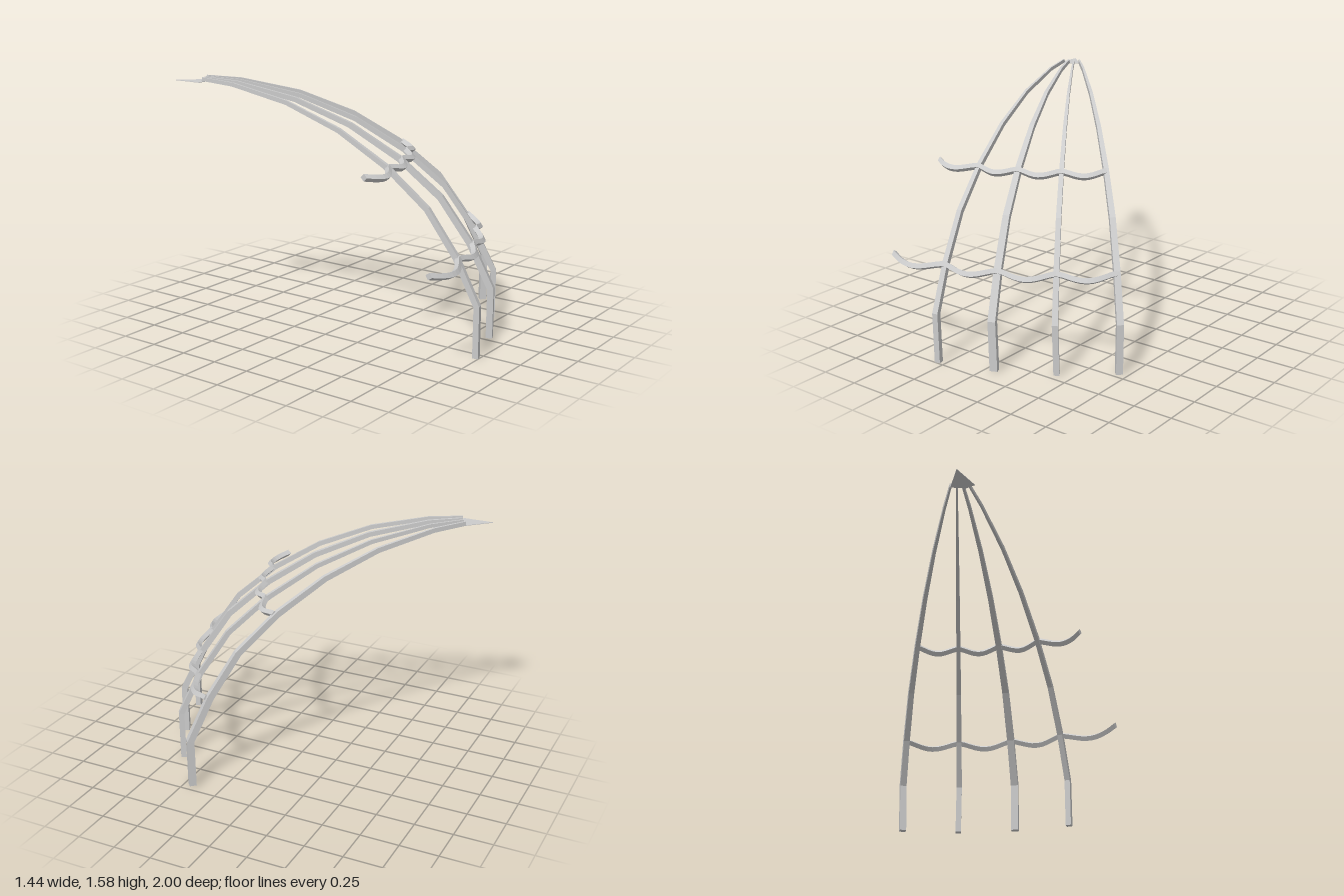
import * as THREE from 'three';

// Dome axis: everything is placed in polar coordinates around it
const AXIS_X = -0.72, AXIS_Z = -1.0;
// Wall end of the rails, then the four ribs
const ANGLES = [0, 11.85, 22.35, 33.2, 44.2].map(THREE.MathUtils.degToRad);
const material = new THREE.MeshStandardMaterial({ color: 0xcccccc, flatShading: true });

// Angle a, radius r, height y, sideways offset s
function polar(a, r, y, s = 0) {
  return [
    AXIS_X + Math.sin(a) * r + Math.cos(a) * s,
    y,
    AXIS_Z + Math.cos(a) * r - Math.sin(a) * s,
  ];
}

// Skin a list of four-cornered rings and cap both ends
function loft(rings) {
  const pos = [];
  const quad = (a, b, c, d) => pos.push(...a, ...b, ...c, ...a, ...c, ...d);
  for (let k = 0; k < rings.length - 1; k++) {
    const p = rings[k], q = rings[k + 1];
    for (let i = 0; i < 4; i++) {
      const j = (i + 1) % 4;
      quad(p[i], p[j], q[j], q[i]);
    }
  }
  const first = rings[0], last = rings[rings.length - 1];
  quad(first[3], first[2], first[1], first[0]);
  quad(last[0], last[1], last[2], last[3]);
  const g = new THREE.BufferGeometry();
  g.setAttribute('position', new THREE.Float32BufferAttribute(pos, 3));
  g.computeVertexNormals();
  return g;
}

// Outer edge of a rib: radius, height
const PROFILE = [
  [2.04, 0], [2.043, 0.325], [1.905, 0.615], [1.715, 0.895], [1.448, 1.13],
  [1.138, 1.325], [0.788, 1.47], [0.412, 1.558], [0.195, 1.579],
];

// Tapering rib with its inner edge offset along the profile normal; the foot leans sideways a little
function ribGeometry(angle, width, depth, lean) {
  const n = PROFILE.length;
  return loft(PROFILE.map(([r, y], i) => {
    const a = PROFILE[Math.max(i - 1, 0)], b = PROFILE[Math.min(i + 1, n - 1)];
    const dr = b[0] - a[0], dy = b[1] - a[1], len = Math.hypot(dr, dy);
    const d = depth * (0.6 + 0.2 * r);
    const ri = r - (dy / len) * d, yi = i === 0 ? y : y + (dr / len) * d;
    const h = width * (0.2 + 0.4 * r) / 2;
    const s = i === 0 ? lean : 0;
    return [polar(angle, r, y, s - h), polar(angle, r, y, s + h), polar(angle, ri, yi, s + h), polar(angle, ri, yi, s - h)];
  }));
}

// Scalloped rail: bulges outward and sags between neighbouring ribs, easing in at each rib
function railGeometry(radius, height, sag, tilt, size) {
  const per = 10, rings = [], h = size / 2;
  const nr = Math.cos(tilt), ny = Math.sin(tilt);
  for (let i = 0; i <= 4 * per; i++) {
    const k = Math.min(Math.floor(i / per), 3), t = i / per - k;
    const a = THREE.MathUtils.lerp(ANGLES[k], ANGLES[k + 1], t);
    const wave = Math.max(Math.sin(Math.PI * t), 0) ** (i < per / 2 ? 1 : 1.5);
    const r = radius + (k === 0 ? 0.055 : 0.042) * wave, y = height - sag * wave;
    rings.push([[1, 1], [1, -1], [-1, -1], [-1, 1]].map(([u, v]) =>
      polar(a, r + h * (u * nr - v * ny), y + h * (u * ny + v * nr))));
  }
  return loft(rings);
}

export function createModel() {
  const model = new THREE.Group();
  model.name = 'domeFrame';
  const add = (name, geometry) => {
    const mesh = new THREE.Mesh(geometry, material);
    mesh.name = name;
    model.add(mesh);
  };

  // Four curved ribs: width, depth, foot lean
  const ribs = [[0.036, 0.036, 0.004], [0.048, 0.04, 0.006], [0.036, 0.036, 0.008], [0.042, 0.044, -0.002]];
  ribs.forEach((size, i) => add('rib' + (i + 1), ribGeometry(ANGLES[i + 1], ...size)));

  // Two scalloped cross rails
  add('lowerRail', railGeometry(1.905, 0.602, 0.028, 0.55, 0.032));
  add('upperRail', railGeometry(1.458, 1.111, 0.02, 0.75, 0.032));

  // Thin crown plate joining the rib tips
  const plate = new THREE.Shape();
  plate.moveTo(AXIS_X, -AXIS_Z);
  [[0, 0.197], [0.31, 0.206], [Math.PI / 4, 0.192]].forEach(([a, r]) => {
    const p = polar(a, r, 0);
    plate.lineTo(p[0], -p[2]);
  });
  const plateGeometry = new THREE.ExtrudeGeometry(plate, { depth: 0.003, bevelEnabled: false });
  add('crownPlate', plateGeometry.rotateX(-Math.PI / 2).translate(0, 1.549, 0));

  return model;
}
